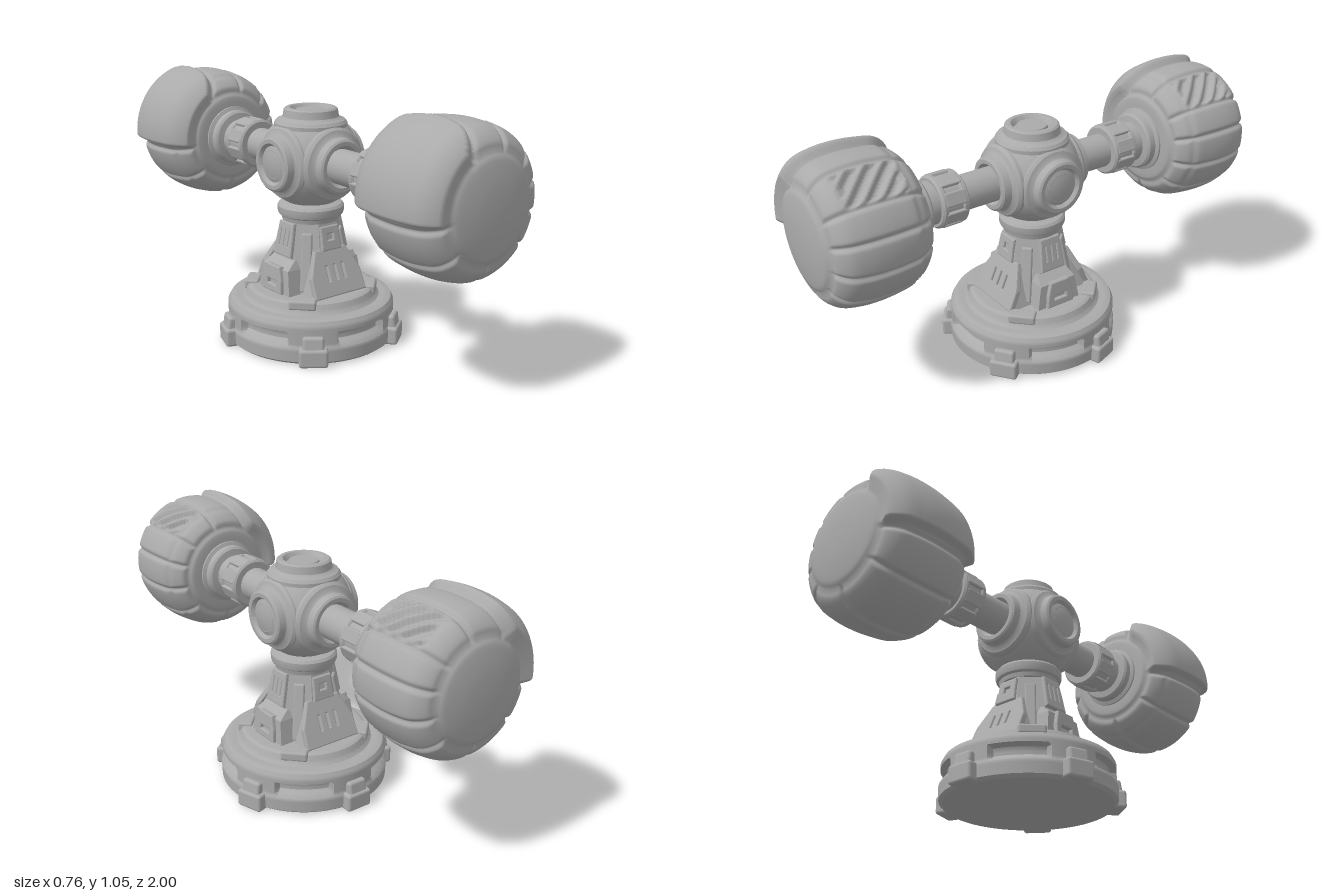
import * as THREE from 'three';
import { mergeVertices, toCreasedNormals } from 'three/addons/utils/BufferGeometryUtils.js';
import { RoundedBoxGeometry } from 'three/addons/geometries/RoundedBoxGeometry.js';

const grey = new THREE.MeshStandardMaterial({ color: 0xaaaaaa });
grey.name = 'clay grey';
const AXIS = 0.752; // height of the hub and arms
const V2 = (p) => new THREE.Vector2(p[0], p[1]);
const step = THREE.MathUtils.smoothstep;
const notch = (d) => Math.exp(-d * d);

function add(parent, name, geo, pos = [0, 0, 0], rot = [0, 0, 0]) {
  const m = new THREE.Mesh(geo, grey);
  m.name = name;
  m.position.set(...pos);
  m.rotation.set(...rot);
  parent.add(m);
  return m;
}

// Welds a geometry and moves every vertex by a rule
function deform(geo, rule) {
  geo.deleteAttribute('uv');
  geo.deleteAttribute('normal');
  const g = mergeVertices(geo, 1e-5);
  const p = g.attributes.position, v = new THREE.Vector3();
  for (let i = 0; i < p.count; i++) {
    v.fromBufferAttribute(p, i);
    rule(v);
    p.setXYZ(i, v.x, v.y, v.z);
  }
  g.computeVertexNormals();
  return g;
}

const turned = (pts, seg = 48) => toCreasedNormals(new THREE.LatheGeometry(pts.map(V2), seg), 0.55);

function densify(pts, size) {
  const out = [pts[0]];
  for (let i = 1; i < pts.length; i++) {
    const [a, b] = [pts[i - 1], pts[i]];
    const n = Math.ceil(Math.hypot(b[0] - a[0], b[1] - a[1]) / size);
    for (let k = 1; k <= n; k++) out.push([a[0] + (b[0] - a[0]) * k / n, a[1] + (b[1] - a[1]) * k / n]);
  }
  return out;
}

// Block whose top is narrower than its foot, standing on y = 0
function taper(w0, d0, w1, d1, h) {
  const g = deform(new THREE.BoxGeometry(1, h, 1), (v) => {
    const top = v.y > 0;
    v.set(v.x * (top ? w1 : w0), v.y + h / 2, v.z * (top ? d1 : d0));
  });
  return toCreasedNormals(g, 0.3);
}

// Trapezoid plate with rectangular openings [x, y, w, h]
function plate(w0, w1, h, thick, holes) {
  const s = new THREE.Shape([[-w0 / 2, 0], [w0 / 2, 0], [w0 / 2 - 0.004, h * 0.45], [w1 / 2, h], [-w1 / 2, h], [-w0 / 2 + 0.004, h * 0.45]].map(V2));
  for (const [x, y, w, k] of holes) {
    s.holes.push(new THREE.Path([[x - w / 2, y - k / 2], [x - w / 2, y + k / 2], [x + w / 2, y + k / 2], [x + w / 2, y - k / 2]].map(V2)));
  }
  return new THREE.ExtrudeGeometry(s, { depth: thick, bevelEnabled: true, bevelSize: 0.005, bevelThickness: 0.006, bevelSegments: 2 });
}

// Padded pod: rounded drum with seams, end caps, a raised pad and slanted slats
const SEAMS = [-170, -137, -90, -42, -12, 15, 40, 75];
function podGeometry(s) {
  const curve = new THREE.SplineCurve([[0, 0.568], [0.1, 0.568], [0.19, 0.575], [0.235, 0.6], [0.268, 0.65], [0.28, 0.72],
    [0.284, 0.79], [0.279, 0.86], [0.26, 0.925], [0.205, 0.97], [0.1, 0.993], [0, 0.998]].map(V2));
  const pts = curve.getPoints(62);
  pts.forEach((p) => { p.x = Math.max(0, p.x); });
  pts[0].x = pts[62].x = 0;
  const geo = new THREE.LatheGeometry(pts, 320);
  geo.rotateX(Math.PI / 2);
  const n = new THREE.Vector3();
  return deform(geo, (v) => {
    const x = v.x * s, r = Math.hypot(x, v.y), th = Math.atan2(v.y, x) * 180 / Math.PI;
    const rim = step(r, 0.195, 0.215);
    // raised pad behind a straight edge
    const d = -0.928 * x + 0.374 * v.y;
    const pad = step(d, 0.165, 0.18) * step(v.y, -0.03, -0.012) * rim;
    const edge = notch((d - 0.162) / 0.009) * step(v.y, -0.03, -0.01) * rim;
    // seams between the cushions
    let seam = 0;
    for (const a of SEAMS) seam = Math.max(seam, notch((th - a) * Math.PI / 180 * r / 0.01));
    seam = Math.max(seam, 0.5 * notch((v.z - 0.64) / 0.01)) * rim * (1 - pad);
    const cap = notch((r - 0.2) / 0.01);
    // recessed panel with slanted slats
    const box = step(th, 41, 45) * step(-th, -74, -70) * step(v.z, 0.65, 0.67) * step(-v.z, -0.9, -0.88);
    const k = s * (v.z - 0.77) + (th - 57) * 0.0049;
    const slat = step(Math.cos(k * 2 * Math.PI / 0.075), -0.2, 0.5);
    const move = 0.03 * pad - 0.012 * Math.max(seam, edge, cap) - box * (0.02 - 0.02 * slat);
    n.set(v.x, v.y, v.z - 0.785).normalize();
    v.addScaledVector(n, move);
  });
}

function buildArm(s) {
  const arm = new THREE.Group();
  arm.name = s > 0 ? 'frontArm' : 'backArm';
  arm.position.y = AXIS;
  arm.rotation.y = s > 0 ? 0 : Math.PI;
  const along = [Math.PI / 2, 0, 0];
  add(arm, 'pod', podGeometry(s));
  add(arm, 'rod', new THREE.CylinderGeometry(0.07, 0.07, 0.42, 32), [0, 0, 0.38], along);
  add(arm, 'podFlange', turned([[0.07, 0.46], [0.085, 0.47], [0.085, 0.515], [0.112, 0.52], [0.12, 0.528], [0.12, 0.555], [0.135, 0.562], [0.135, 0.59]]), [0, 0, 0], along);
  add(arm, 'collar', turned([[0.06, 0.355], [0.096, 0.355], [0.104, 0.362], [0.104, 0.378], [0.096, 0.384], [0.096, 0.446],
    [0.104, 0.452], [0.104, 0.464], [0.096, 0.472], [0.06, 0.472]]), [0, 0, 0], along);
  for (let i = 0; i < 8; i++) {
    const a = (i + 0.5) * Math.PI / 4;
    add(arm, 'collarPad', new RoundedBoxGeometry(0.055, 0.018, 0.09, 2, 0.006),
      [Math.sin(a) * 0.096, Math.cos(a) * 0.096, 0.413], [0, 0, -a]);
  }
  return arm;
}

function buildHub() {
  const hub = new THREE.Group();
  hub.name = 'hub';
  hub.position.y = AXIS;
  add(hub, 'hubBall', new THREE.SphereGeometry(0.2, 48, 32));
  const port = turned([[0.147, 0.1], [0.147, 0.15], [0.138, 0.162], [0.12, 0.168], [0.113, 0.175], [0.108, 0.204], [0.1, 0.21],
    [0.084, 0.21], [0.076, 0.2], [0.07, 0.19], [0.063, 0.19], [0.058, 0.202], [0, 0.204]]);
  const q = Math.PI / 2;
  for (const rot of [[0, 0, 0], [q, 0, 0], [-q, 0, 0], [0, 0, q], [0, 0, -q]]) {
    const ring = add(hub, 'hubPort', port, [0, 0, 0], rot);
    if (rot[2]) ring.scale.y = 0.95;
  }
  return hub;
}

function buildBase() {
  const base = new THREE.Group();
  base.name = 'base';
  const FIFTH = Math.PI * 2 / 5;
  // stepped foot with five recessed slots
  const profile = densify([[0, 0], [0.335, 0], [0.35, 0.012], [0.352, 0.065], [0.346, 0.075], [0.346, 0.155], [0.335, 0.175], [0.315, 0.18],
    [0.285, 0.18], [0.275, 0.19], [0.262, 0.218], [0.25, 0.224], [0.17, 0.226]], 0.011);
  const foot = deform(new THREE.LatheGeometry(profile.map(V2), 180), (v) => {
    const r = Math.hypot(v.x, v.z);
    if (r < 0.3) return;
    const a = Math.atan2(v.x, v.z), off = Math.abs(a - Math.round(a / FIFTH) * FIFTH);
    const slot = step(-off, -0.35, -0.31) * step(v.y, 0.078, 0.09) * step(-v.y, -0.134, -0.122);
    const k = 1 - 0.03 * slot / r;
    v.x *= k;
    v.z *= k;
  });
  add(base, 'foot', toCreasedNormals(foot, 0.6));
  for (let i = 0; i < 5; i++) {
    const a = (i + 0.5) * FIFTH;
    const lug = new THREE.Group();
    lug.name = 'lug';
    lug.rotation.y = a;
    add(lug, 'lugBody', new RoundedBoxGeometry(0.115, 0.075, 0.06, 3, 0.012), [0, 0.0375, 0.354]);
    add(lug, 'lugTop', new RoundedBoxGeometry(0.085, 0.09, 0.05, 3, 0.012), [0, 0.075, 0.348], [-0.15, 0, 0]);
    base.add(lug);
  }
  return base;
}

function buildNeck() {
  const neck = new THREE.Group();
  neck.name = 'neck';
  add(neck, 'neckCore', toCreasedNormals(new THREE.CylinderGeometry(0.115, 0.178, 0.3, 8).rotateY(Math.PI / 8), 0.3), [0, 0.37, 0]);
  add(neck, 'neckRing', turned([[0.1, 0.5], [0.118, 0.505], [0.122, 0.522], [0.132, 0.528], [0.136, 0.54], [0.136, 0.562], [0.128, 0.572], [0.1, 0.58]]), [0, 0, 0]);
  add(neck, 'frontBackBlock', taper(0.27, 0.38, 0.16, 0.22, 0.18), [0, 0.215, 0]);
  add(neck, 'sideBlock', taper(0.38, 0.21, 0.36, 0.17, 0.11), [0, 0.215, 0]);
  add(neck, 'sideBlockTop', taper(0.36, 0.17, 0.27, 0.14, 0.035), [0, 0.325, 0]);
  const slots = (y, gap, w, h) => [-1, 0, 1].map((i) => [i * gap, y, w, h]);
  for (let i = 0; i < 4; i++) {
    const side = new THREE.Group();
    side.name = i % 2 ? 'sidePanel' : 'frontBackPanel';
    side.rotation.y = i * Math.PI / 2;
    if (i % 2) {
      add(side, 'sideHood', plate(0.12, 0.08, 0.1, 0.016, [[0, 0.035, 0.07, 0.028]]), [0, 0.23, 0.183], [-0.09, 0, 0]);
      add(side, 'upperVent', plate(0.105, 0.085, 0.13, 0.008, slots(0.07, 0.027, 0.011, 0.075)), [0, 0.37, 0.137], [-0.2, 0, 0]);
    } else {
      add(side, 'lowerVent', plate(0.25, 0.15, 0.185, 0.014, slots(0.09, 0.04, 0.018, 0.07)), [0, 0.222, 0.187], [-0.418, 0, 0]);
      add(side, 'upperPlate', plate(0.09, 0.08, 0.09, 0.006, [[0, 0.05, 0.04, 0.035]]), [0, 0.4, 0.13], [-0.2, 0, 0]);
    }
    // ribs on the corners and pads around the foot's upper step
    add(side, 'cornerRib', new RoundedBoxGeometry(0.045, 0.24, 0.025, 2, 0.008), [0.098, 0.35, 0.098], [-0.2, Math.PI / 4, 0, 'YXZ']);
    add(side, 'stepPad', new RoundedBoxGeometry(0.11, 0.04, 0.06, 2, 0.01), [0.172, 0.215, 0.172], [0, Math.PI / 4, 0]);
    neck.add(side);
  }
  return neck;
}

export function createModel() {
  const model = new THREE.Group();
  model.name = 'twinPodTurret';
  model.add(buildBase(), buildNeck(), buildHub(), buildArm(1), buildArm(-1));
  return model;
}
